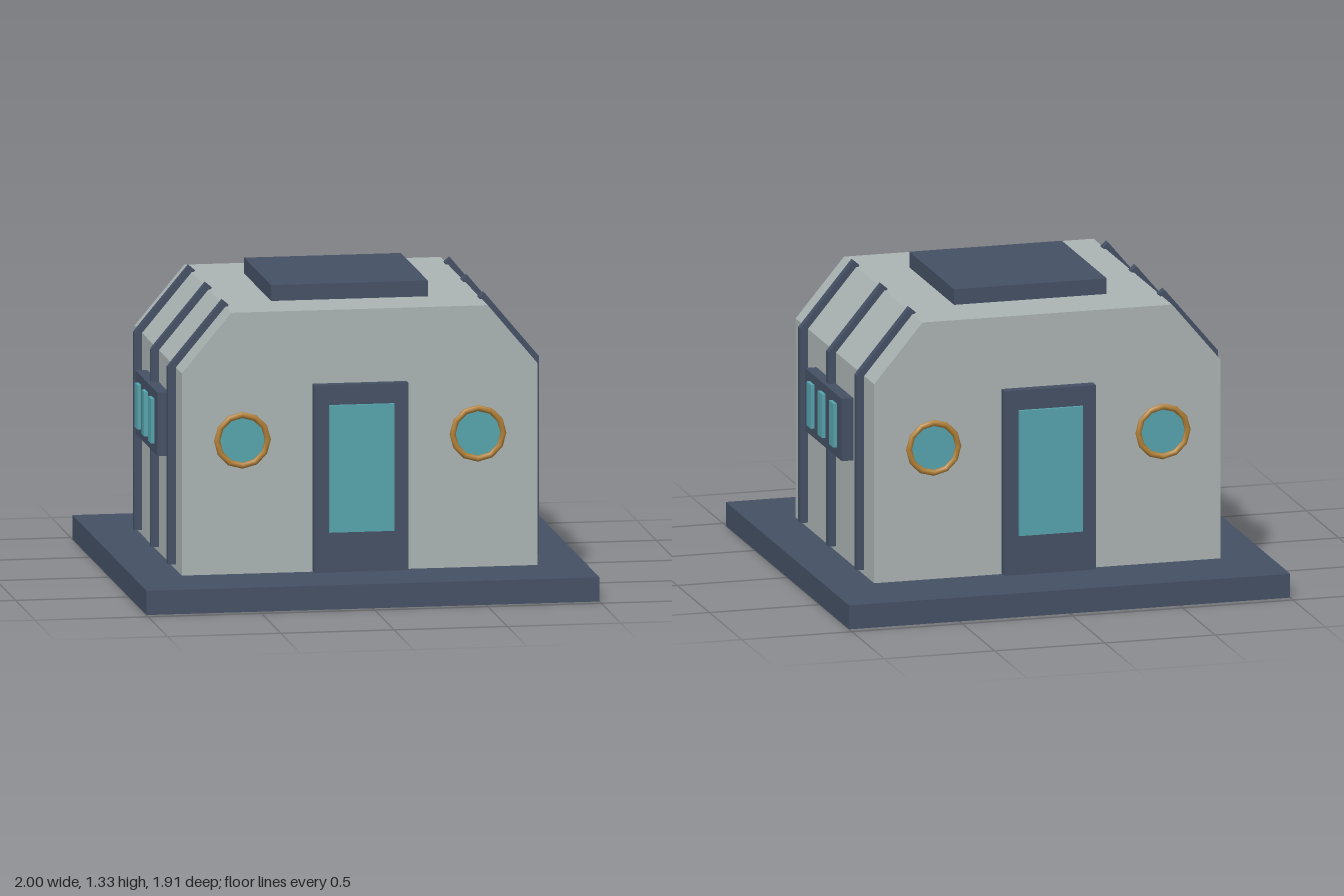
import * as THREE from 'three';

const material = (name, color) => {
  const m = new THREE.MeshStandardMaterial({ color });
  m.name = name;
  return m;
};

export function createModel() {
  const wall = material('pale grey wall', 0xabb3b3);
  const trim = material('slate blue trim', 0x445064);
  const glass = material('teal glass', 0x56a3ac);
  const brass = material('brass', 0xb08038);

  const model = new THREE.Group();
  model.name = 'shelter';

  const add = (parent, name, geometry, mat, x = 0, y = 0, z = 0) => {
    const mesh = new THREE.Mesh(geometry, mat);
    mesh.name = name;
    mesh.position.set(x, y, z);
    parent.add(mesh);
    return mesh;
  };
  // Box given by its lower and upper corners
  const block = (parent, name, mat, [x0, y0, z0], [x1, y1, z1]) =>
    add(parent, name, new THREE.BoxGeometry(x1 - x0, y1 - y0, z1 - z0), mat,
      (x0 + x1) / 2, (y0 + y1) / 2, (z0 + z1) / 2);

  const floor = 0.107, halfDepth = 0.608;
  const eave = new THREE.Vector2(0.785, 1.0);
  const ridge = new THREE.Vector2(0.566, 1.262);

  // Base slab
  block(model, 'base', trim, [-1, 0, -0.956], [1, floor, 0.956]);

  // Body with chamfered shoulders
  const profile = new THREE.Shape([
    new THREE.Vector2(-eave.x, floor), new THREE.Vector2(eave.x, floor), eave, ridge,
    new THREE.Vector2(-ridge.x, ridge.y), new THREE.Vector2(-eave.x, eave.y),
  ]);
  const body = new THREE.ExtrudeGeometry(profile, { depth: halfDepth * 2, bevelEnabled: false });
  add(model, 'body', body, wall, 0, 0, -halfDepth);

  // Roof hatch
  block(model, 'roofHatch', trim, [-0.346, 1.255, -0.347], [0.346, 1.332, 0.347]);

  // Door and portholes, alike at front and back
  for (const [side, turn] of [['front', 0], ['back', Math.PI]]) {
    const face = new THREE.Group();
    face.name = side + 'Face';
    face.rotation.y = turn;
    model.add(face);
    block(face, 'doorFrame', trim, [-0.207, 0.11, 0.6], [0.207, 0.938, 0.656]);
    block(face, 'doorGlass', glass, [-0.144, 0.288, 0.65], [0.144, 0.85, 0.671]);
    for (const x of [-0.52, 0.52]) {
      const pane = new THREE.CylinderGeometry(0.108, 0.108, 0.02, 24).rotateX(Math.PI / 2);
      add(face, 'portholeGlass', pane, glass, x, 0.7, 0.61);
      add(face, 'portholeRing', new THREE.TorusGeometry(0.112, 0.0135, 8, 12), brass, x, 0.7, 0.625);
    }
  }

  // Ribs and window panel, alike at left and right
  const slope = ridge.clone().sub(eave);
  const angle = Math.atan2(-slope.x, slope.y);
  const mid = eave.clone().add(ridge).multiplyScalar(0.5);
  for (const [side, turn] of [['left', 0], ['right', Math.PI]]) {
    const face = new THREE.Group();
    face.name = side + 'Face';
    face.rotation.y = turn;
    model.add(face);
    for (const z of [-0.435, 0, 0.435]) {
      block(face, 'wallRib', trim, [0.78, 0.13, z - 0.0185], [0.819, 1.003, z + 0.0185]);
      const rib = add(face, 'shoulderRib', new THREE.BoxGeometry(0.034, 0.372, 0.037), trim,
        mid.x + 0.01 * Math.cos(angle), mid.y + 0.01 * Math.sin(angle), z);
      rib.rotation.z = angle;
    }
    block(face, 'windowPanel', trim, [0.78, 0.58, -0.285], [0.837, 0.86, 0.285]);
    for (const z of [-0.174, 0, 0.174]) {
      block(face, 'windowPane', glass, [0.83, 0.623, z - 0.034], [0.853, 0.82, z + 0.034]);
    }
  }

  return model;
}
